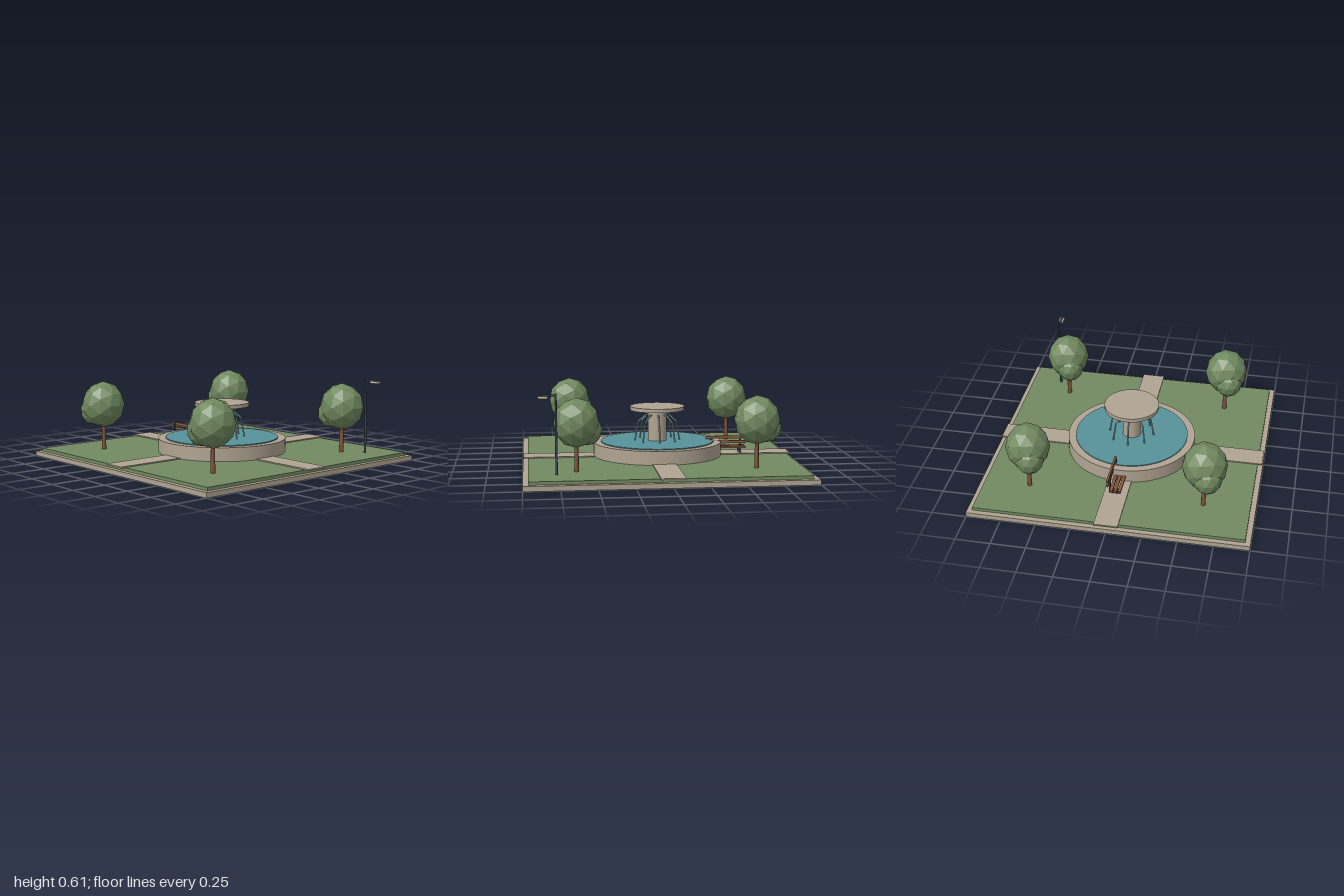
import * as THREE from 'three';

const mat = (name, color, extra = {}) => {
  const m = new THREE.MeshStandardMaterial({ color, ...extra });
  m.name = name;
  return m;
};

export function createModel() {
  const stone = mat('stone', 0xb0a492);
  const grass = mat('grass', 0x728a62);
  const foliage = mat('foliage', 0x70895f, { flatShading: true });
  const water = mat('water', 0x58919a);
  const jetMat = mat('jet water', 0x8fb8b4);
  const bark = mat('bark', 0x80543a);
  const wood = mat('bench wood', 0x8a5a3c);
  const metal = mat('dark metal', 0x3a4a55);
  const glow = mat('lamp shade', 0xcfc2ac);

  const model = new THREE.Group();
  const add = (parent, name, geo, material, x = 0, y = 0, z = 0) => {
    const mesh = new THREE.Mesh(geo, material);
    mesh.name = name;
    mesh.position.set(x, y, z);
    parent.add(mesh);
    return mesh;
  };
  const group = (name, x = 0, y = 0, z = 0) => {
    const g = new THREE.Group();
    g.name = name;
    g.position.set(x, y, z);
    model.add(g);
    return g;
  };
  const box = (w, h, d) => new THREE.BoxGeometry(w, h, d);
  const cyl = (r1, r2, h, n = 48) => new THREE.CylinderGeometry(r1, r2, h, n);

  // Ground: slab, lawn and crossing paths
  add(model, 'baseSlab', box(2, 0.035, 2), stone, 0, 0.0175, 0);
  add(model, 'lawn', box(1.925, 0.023, 1.925), grass, 0, 0.0465, 0);
  add(model, 'pathAcross', box(1.99, 0.01, 0.17), stone, 0, 0.061, 0);
  for (const s of [-1, 1]) {
    add(model, 'pathAlong', box(0.17, 0.01, 0.91), stone, 0, 0.061, s * 0.54);
  }

  // Fountain: ring basin, water, column and top disc
  const fountain = group('fountain');
  const ring = new THREE.Shape().absarc(0, 0, 0.475, 0, Math.PI * 2);
  ring.holes.push(new THREE.Path().absarc(0, 0, 0.418, 0, Math.PI * 2, true));
  const ringGeo = new THREE.ExtrudeGeometry(ring, { depth: 0.103, bevelEnabled: false, curveSegments: 48 });
  ringGeo.rotateX(-Math.PI / 2);
  add(fountain, 'basinWall', ringGeo, stone, 0, 0.055, 0);
  add(fountain, 'waterSurface', cyl(0.42, 0.42, 0.02), water, 0, 0.155, 0);
  add(fountain, 'column', cyl(0.068, 0.068, 0.26, 32), stone, 0, 0.275, 0);
  add(fountain, 'topDisc', cyl(0.202, 0.202, 0.028), stone, 0, 0.408, 0);

  // Eight bent water jets around the column
  const path = new THREE.CurvePath();
  const pts = [[0.168, 0.16], [0.143, 0.305], [0.088, 0.355], [0.06, 0.358]]
    .map(([x, y]) => new THREE.Vector3(x, y, 0));
  for (let i = 0; i < 3; i++) path.add(new THREE.LineCurve3(pts[i], pts[i + 1]));
  const jetGeo = new THREE.TubeGeometry(path, 24, 0.006, 6);
  for (let i = 0; i < 8; i++) {
    add(fountain, 'waterJet', jetGeo, jetMat).rotation.y = (i * Math.PI) / 4;
  }

  // Trees, one per quarter
  const crown = new THREE.IcosahedronGeometry(1, 1);
  for (const x of [-0.63, 0.63]) {
    for (const z of [-0.63, 0.63]) {
      const tree = group('tree', x, 0, z);
      add(tree, 'trunk', cyl(0.013, 0.017, 0.24, 8), bark, 0, 0.17, 0);
      const main = add(tree, 'crown', crown, foliage, 0, 0.397, 0);
      main.scale.set(0.16, 0.173, 0.16);
      main.rotation.y = 0.25;
      const side = add(tree, 'sideCrown', crown, foliage, -0.078, 0.343, 0.03);
      side.scale.set(0.103, 0.11, 0.103);
    }
  }

  // Bench beside the fountain
  const bench = group('bench', -0.51, 0, 0);
  for (const z of [-0.028, 0.002, 0.033]) {
    add(bench, 'seatSlat', box(0.305, 0.014, 0.022), wood, 0, 0.105, z);
  }
  for (const y of [0.149, 0.185]) {
    add(bench, 'backSlat', box(0.305, 0.02, 0.014), wood, 0, y, -0.053);
  }
  for (const x of [-0.11, 0.11]) {
    add(bench, 'benchLeg', box(0.014, 0.04, 0.07), metal, x, 0.08, 0);
    add(bench, 'backPost', box(0.014, 0.13, 0.01), metal, x, 0.125, -0.042);
  }

  // Street lamp
  const lamp = group('lamp', 0.77, 0, -0.735);
  add(lamp, 'pole', cyl(0.007, 0.009, 0.56, 10), metal, 0, 0.332, 0);
  add(lamp, 'arm', box(0.1, 0.012, 0.014), metal, 0.05, 0.6, 0);
  add(lamp, 'lampHead', box(0.066, 0.015, 0.038), glow, 0.087, 0.588, 0);

  return model;
}
